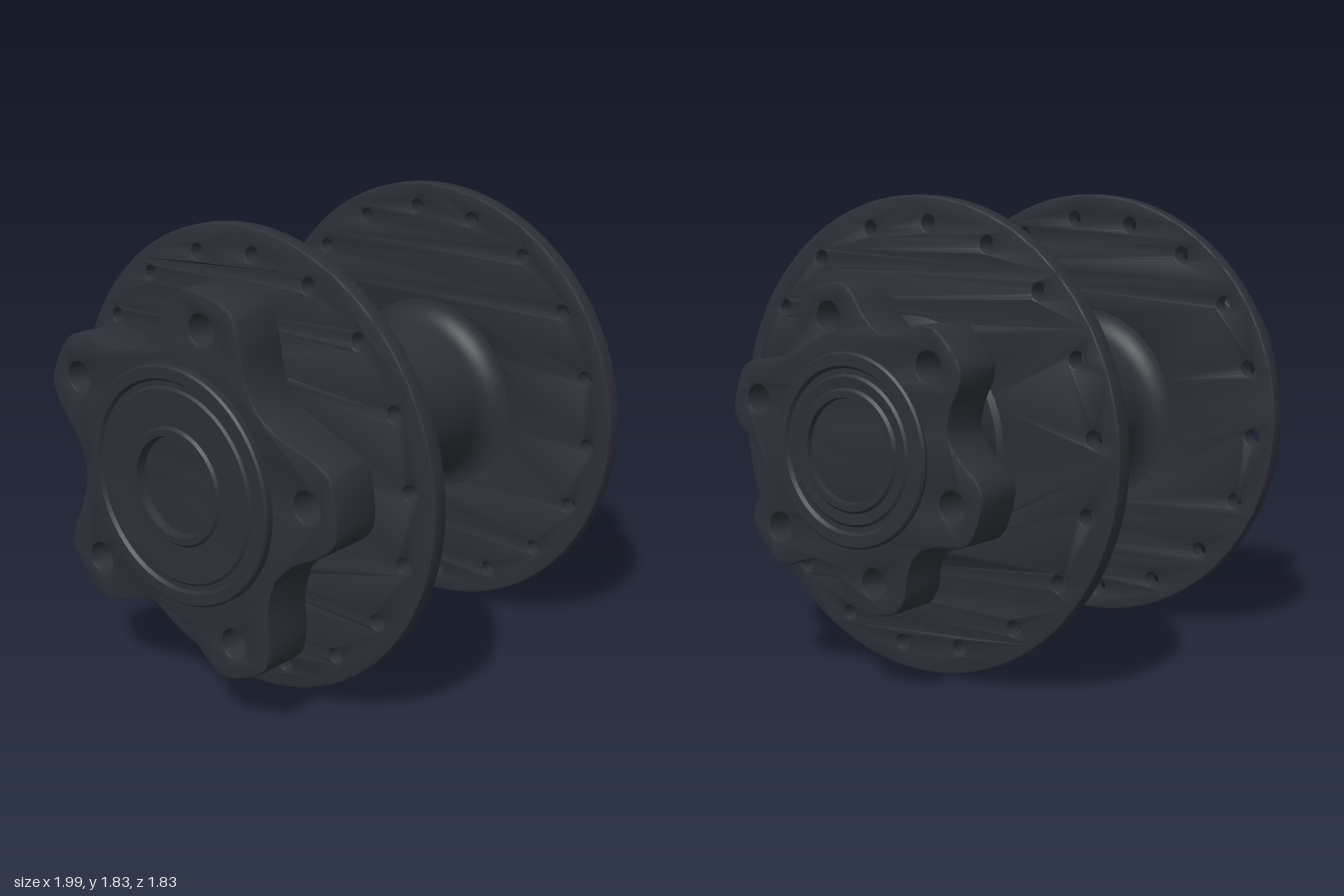
import * as THREE from 'three';
import { toCreasedNormals } from 'three/addons/utils/BufferGeometryUtils.js';

const RADIUS = 0.915;
const RAD = Math.PI / 180;
const material = new THREE.MeshStandardMaterial({ color: 0x2c2f37 });

function mesh(name, geometry, crease = 0.6) {
  const m = new THREE.Mesh(toCreasedNormals(geometry, crease), material);
  m.name = name;
  return m;
}

// Revolve [x, r] points about the x axis; side -1 mirrors them to the other end
function turned(name, points, side = 1) {
  const pts = points.map(([x, r]) => new THREE.Vector2(r, x * side));
  if (side < 0) pts.reverse();
  return mesh(name, new THREE.LatheGeometry(pts, 72).rotateZ(-Math.PI / 2));
}

// Extrude a shape drawn in (z, y) between two x positions
function plate(shape, x0, x1, bevel, curveSegments) {
  const g = new THREE.ExtrudeGeometry(shape, {
    depth: x1 - x0 - 2 * bevel, curveSegments, bevelThickness: bevel,
    bevelSize: bevel, bevelOffset: -bevel, bevelSegments: 2,
  });
  return g.rotateY(-Math.PI / 2).translate(x1 - bevel, 0, 0);
}

function ringOfHoles(shape, count, phase, ringRadius, holeRadius) {
  for (let i = 0; i < count; i++) {
    const a = phase * RAD + (i / count) * Math.PI * 2;
    const hole = new THREE.Path();
    hole.absarc(Math.cos(a) * ringRadius, Math.sin(a) * ringRadius, holeRadius, 0, Math.PI * 2, true);
    shape.holes.push(hole);
  }
}

// Closed outline with rounded lobes; profile holes [fraction of pitch, radius]
function lobedOutline(count, phase, profile) {
  const pts = [];
  for (let i = 0; i < count; i++) {
    for (const [f, r] of profile) {
      const a = phase * RAD + ((i + f) / count) * Math.PI * 2;
      pts.push(new THREE.Vector2(Math.cos(a) * r, Math.sin(a) * r));
    }
  }
  pts.push(pts[0].clone());
  return new THREE.SplineCurve(pts).getPoints(count * 30).slice(0, -1);
}

// Spoke flange: flat inside, slightly conical outside, drilled near the rim
function flange(name, side, inner, outer, phase) {
  const shape = new THREE.Shape().absarc(0, 0, RADIUS, 0, Math.PI * 2, false);
  const bore = new THREE.Path();
  bore.absarc(0, 0, 0.415, 0, Math.PI * 2, true);
  shape.holes.push(bore);
  ringOfHoles(shape, 18, phase, 0.815, 0.03);
  const [x0, x1] = side > 0 ? [inner, outer] : [-outer, -inner];
  const g = plate(shape, x0, x1, 0.008, 48);
  const p = g.attributes.position;
  for (let i = 0; i < p.count; i++) {
    const r = Math.hypot(p.getY(i), p.getZ(i));
    if ((p.getX(i) - (x0 + x1) / 2) * side > 0) {
      p.setX(i, p.getX(i) + side * 0.105 * (RADIUS - r));
    }
  }
  return mesh(name, g, 0.5);
}

// Skin through scaled copies of an outline, at [x, scale] with x increasing
function loft(name, outline, sections) {
  const n = outline.length, pos = [], index = [];
  for (const [x, s] of sections) for (const p of outline) pos.push(x, p.y * s, p.x * s);
  for (let j = 0; j < sections.length - 1; j++) {
    for (let i = 0; i < n; i++) {
      const a = j * n + i, b = j * n + ((i + 1) % n), c = a + n, d = b + n;
      index.push(a, b, c, b, d, c);
    }
  }
  const g = new THREE.BufferGeometry();
  g.setAttribute('position', new THREE.Float32BufferAttribute(pos, 3));
  g.setIndex(index);
  return mesh(name, g, 0.8);
}

// Lobed brake mount with a bolt hole in each lobe
function mount(name, outline, x0, x1, count, phase, boltRadius, holeRadius) {
  const shape = new THREE.Shape(outline);
  ringOfHoles(shape, count, phase, boltRadius, holeRadius);
  return mesh(name, plate(shape, x0, x1, 0.01, 12));
}

// Stepped end cap with a recessed, closed bearing bore
function endCap(name, side, r) {
  return turned(name, [
    [0.93, r], [0.987, r], [0.995, r - 0.008], [0.995, r - 0.05], [0.982, r - 0.06],
    [0.982, r - 0.08], [0.99, r - 0.09], [0.985, 0.23], [0.995, 0.22], [0.995, 0.195],
    [0.95, 0.185], [0.95, 0.17], [0.92, 0.165], [0.92, 0.15], [0.88, 0.14],
    [0.75, 0.14], [0.72, 0.1], [0.71, 0.05], [0.705, 0],
  ], side);
}

export function createModel() {
  const hub = new THREE.Group();
  hub.name = 'wheelHub';

  // Central barrel with a fillet into each flange
  const half = (inner) => {
    const pts = [];
    for (let i = 0; i <= 8; i++) {
      const a = (i / 8) * Math.PI / 2;
      pts.push([inner - 0.1 + 0.1 * Math.sin(a), 0.42 - 0.1 * Math.cos(a)]);
    }
    return pts;
  };
  const leftHalf = half(0.56).map(([x, r]) => [-x, r]).reverse();
  hub.add(turned('barrel', [...leftHalf, ...half(0.536)]));

  // Spoke flanges
  hub.add(flange('leftFlange', 1, 0.535, 0.605, 15));
  hub.add(flange('rightFlange', -1, 0.56, 0.625, 5));

  // Left end: round neck and six-lobed mount
  hub.add(turned('leftNeck', [
    [0.64, 0.47], [0.657, 0.445], [0.67, 0.43], [0.70, 0.425], [0.79, 0.425],
  ]));
  const six = lobedOutline(6, 18, [
    [-0.5, 0.46], [-0.33, 0.5], [-0.22, 0.575], [-0.11, 0.61],
    [0.11, 0.61], [0.22, 0.575], [0.33, 0.5],
  ]);
  hub.add(mount('leftBrakeMount', six, 0.775, 0.975, 6, 18, 0.49, 0.055));
  hub.add(endCap('leftEndCap', 1, 0.36));

  // Right end: waisted lobed neck and larger five-lobed mount
  const five = lobedOutline(5, 6, [
    [-0.5, 0.53], [-0.33, 0.575], [-0.2, 0.69], [-0.1, 0.75],
    [0.1, 0.75], [0.2, 0.69], [0.33, 0.575],
  ]);
  hub.add(loft('rightNeck', five, [
    [-0.765, 0], [-0.765, 0.95], [-0.75, 0.93], [-0.735, 0.87], [-0.715, 0.835],
    [-0.69, 0.825], [-0.67, 0.84], [-0.655, 0.875], [-0.64, 0.93],
  ]));
  hub.add(mount('rightBrakeMount', five, -0.96, -0.75, 5, 6, 0.62, 0.06));
  hub.add(endCap('rightEndCap', -1, 0.46));

  hub.position.y = RADIUS;
  const model = new THREE.Group();
  model.add(hub);
  return model;
}
